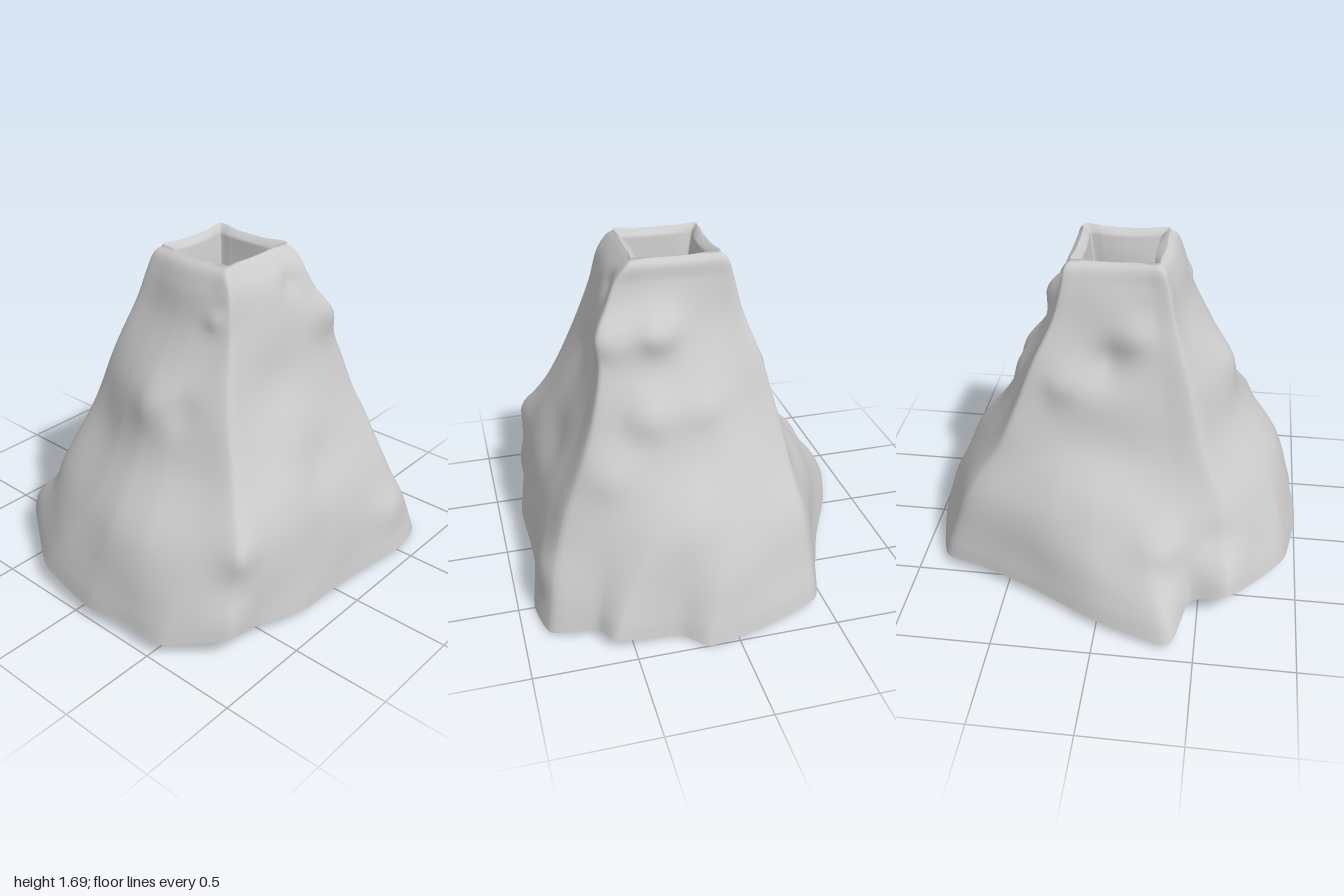
import * as THREE from 'three';

const material = new THREE.MeshStandardMaterial({ color: 0xcccccc });

// Ragged foot outline, counterclockwise from above; every sixth point is a corner ridge.
const foot = [
  [-.7, .18, .65], [-.49, .13, .81], [-.28, .1, .94], [.1, .08, 1], [.3, .1, .975], [.55, .08, .96],
  [.81, .14, .77], [.83, .12, .58], [.88, .06, .3], [.87, .03, .05], [.87, .01, -.15], [.92, .02, -.5],
  [.87, .02, -.72], [.66, .06, -.8], [.58, .06, -.91], [.28, .03, -.91], [.15, .01, -1], [-.1, .02, -.96],
  [-.43, .06, -.86], [-.52, .07, -.64], [-.64, .06, -.35], [-.82, .05, 0], [-.93, .04, .37], [-.7, .12, .46],
].map((p) => new THREE.Vector3(...p));

// Slope sections: height, four corners (x, z), outward bulge of front / right / back / left.
const slopes = [
  { y: .5, c: [[-.5, .62], [.79, .68], [.76, -.55], [-.4, -.7]], b: [.22, .02, .18, .16] },
  { y: .8, c: [[-.39, .49], [.64, .55], [.63, -.47], [-.36, -.53]], b: [.14, .03, .11, .03] },
  { y: 1.1, c: [[-.31, .41], [.52, .45], [.54, -.4], [-.3, -.42]], b: [.12, .01, .04, .01] },
  { y: 1.4, c: [[-.21, .32], [.43, .34], [.47, -.28], [-.21, -.29]], b: [.04, .01, .02, 0] },
  { y: 1.58, c: [[-.165, .28], [.39, .3], [.41, -.23], [-.165, -.24]], b: [.02, 0, .01, -.01] },
  { y: 1.66, c: [[-.14, .25], [.345, .27], [.35, -.22], [-.14, -.225]], b: [.01, -.01, .01, -.01] },
  { y: 1.69, c: [[-.11, .22], [.315, .235], [.315, -.2], [-.11, -.2]], b: [0, -.01, 0, -.01] },
];
const crater = [
  { y: 1.665, c: [[-.085, .2], [.29, .2], [.29, -.17], [-.085, -.17]], b: [-.01, -.02, -.01, -.02] },
  { y: 1.55, c: [[-.06, .18], [.27, .18], [.27, -.15], [-.06, -.15]], b: [0, -.02, 0, -.01] },
  { y: 1.25, c: [[-.025, .16], [.24, .16], [.24, -.11], [-.025, -.11]], b: [0, 0, 0, 0] },
];

// Local lumps and hollows: centre, radius, outward push.
const lumps = [
  [.22, 1.36, -.3, .1, .07], [.43, 1.35, -.29, .11, .07], [.3, 1, -.44, .12, .06], [.05, 1, -.45, .1, .03],
  [.33, 1.46, .33, .05, .02], [.29, 1.03, .5, .09, -.03], [.15, 1.06, .54, .13, .04],
  [-.26, 1.2, -.02, .11, -.05], [-.22, 1.35, .12, .09, .03], [-.29, 1.12, -.22, .1, .03],
  [.39, 1.53, -.12, .07, -.03], [.5, 1.1, .1, .16, -.02], [.7, .65, -.03, .16, -.025], [.7, .65, .25, .18, .015],
  [.8, .36, .72, .12, -.03], [.79, .55, .66, .09, .025], [.85, .22, -.5, .14, .05],
  [-.66, .42, .3, .1, .05], [-.55, .38, .58, .1, -.04], [.5, .75, -.52, .13, .04],
];

const SIDE = 6, COUNT = 24, AROUND = 144;
const sides = [[0, 1], [1, 0], [0, -1], [-1, 0]];

// Four-cornered section whose sides bow outwards
function section({ y, c, b }) {
  return Array.from({ length: COUNT }, (_, i) => {
    const s = Math.floor(i / SIDE), t = (i % SIDE) / SIDE;
    const p = c[s], q = c[(s + 1) % 4], bow = b[s] * Math.sin(Math.PI * t);
    return new THREE.Vector3(p[0] + (q[0] - p[0]) * t + sides[s][0] * bow, y,
      p[1] + (q[1] - p[1]) * t + sides[s][1] * bow);
  });
}

// Resample a control ring, keeping its corners fairly crisp
function smoothRing(points) {
  const curve = new THREE.CatmullRomCurve3(points, true, 'catmullrom', .3);
  return Array.from({ length: AROUND }, (_, i) => curve.getPoint(i / AROUND));
}

// Join control rings with smooth columns; returns rows of points
function loft(rings, rows) {
  const smooth = rings.map(smoothRing);
  const columns = smooth[0].map((_, i) => new THREE.CatmullRomCurve3(smooth.map((r) => r[i])).getPoints(rows));
  return Array.from({ length: rows + 1 }, (_, j) => columns.map((col) => col[j]));
}

// Push a slope point out or in by the lumps and a faint ripple
function weather(p) {
  const out = new THREE.Vector3(p.x - .1, 0, p.z).normalize();
  let push = .008 * Math.sin(9 * p.x + 4 * p.y) * Math.sin(8 * p.z + 7 * p.y + 1);
  for (const [x, y, z, r, h] of lumps) {
    const d2 = (p.x - x) ** 2 + (p.y - y) ** 2 + (p.z - z) ** 2;
    push += h * Math.exp(-d2 / (r * r));
  }
  return p.addScaledVector(out, push * THREE.MathUtils.clamp((p.y - .1) * 5, 0, 1));
}

function skin(rows, name) {
  const index = [];
  for (let j = 0; j < rows.length - 1; j++) {
    for (let i = 0; i < AROUND; i++) {
      const k = (i + 1) % AROUND, a = j * AROUND, b = a + AROUND;
      index.push(a + i, a + k, b + k, a + i, b + k, b + i);
    }
  }
  return mesh(rows.flat(), index, name);
}

function cap(ring, centre, up, name) {
  const index = [];
  for (let i = 0; i < AROUND; i++) {
    const k = (i + 1) % AROUND;
    index.push(AROUND, up ? i : k, up ? k : i);
  }
  return mesh([...ring, centre], index, name);
}

function mesh(points, index, name) {
  const geometry = new THREE.BufferGeometry().setFromPoints(points);
  geometry.setIndex(index);
  geometry.computeVertexNormals();
  const m = new THREE.Mesh(geometry, material);
  m.name = name;
  return m;
}

export function createModel() {
  const group = new THREE.Group();
  group.name = 'volcano';

  // Slightly swollen lip just above the foot
  const rings = slopes.map(section);
  const lip = foot.map((p, i) => {
    const q = rings[0][i];
    return new THREE.Vector3(p.x + (q.x - p.x) * .17, p.y + (q.y - p.y) * .22, p.z + (q.z - p.z) * .17);
  });
  const outer = loft([foot, lip, ...rings], 80);
  outer.forEach((row) => row.forEach(weather));

  // Wavy rim continuing into the crater
  const rim = outer[outer.length - 1];
  rim.forEach((p, i) => { p.y += .008 * Math.cos(i / AROUND * Math.PI * 8); });
  const inner = loft(crater.map(section), 14);
  group.add(skin([...outer, ...inner], 'mountainAndCraterWall'));

  // Crater floor and slightly hollow underside
  group.add(cap(inner[inner.length - 1], new THREE.Vector3(.107, 1.25, .025), true, 'craterFloor'));
  group.add(cap(outer[0], new THREE.Vector3(0, .11, .05), false, 'underside'));
  return group;
}
